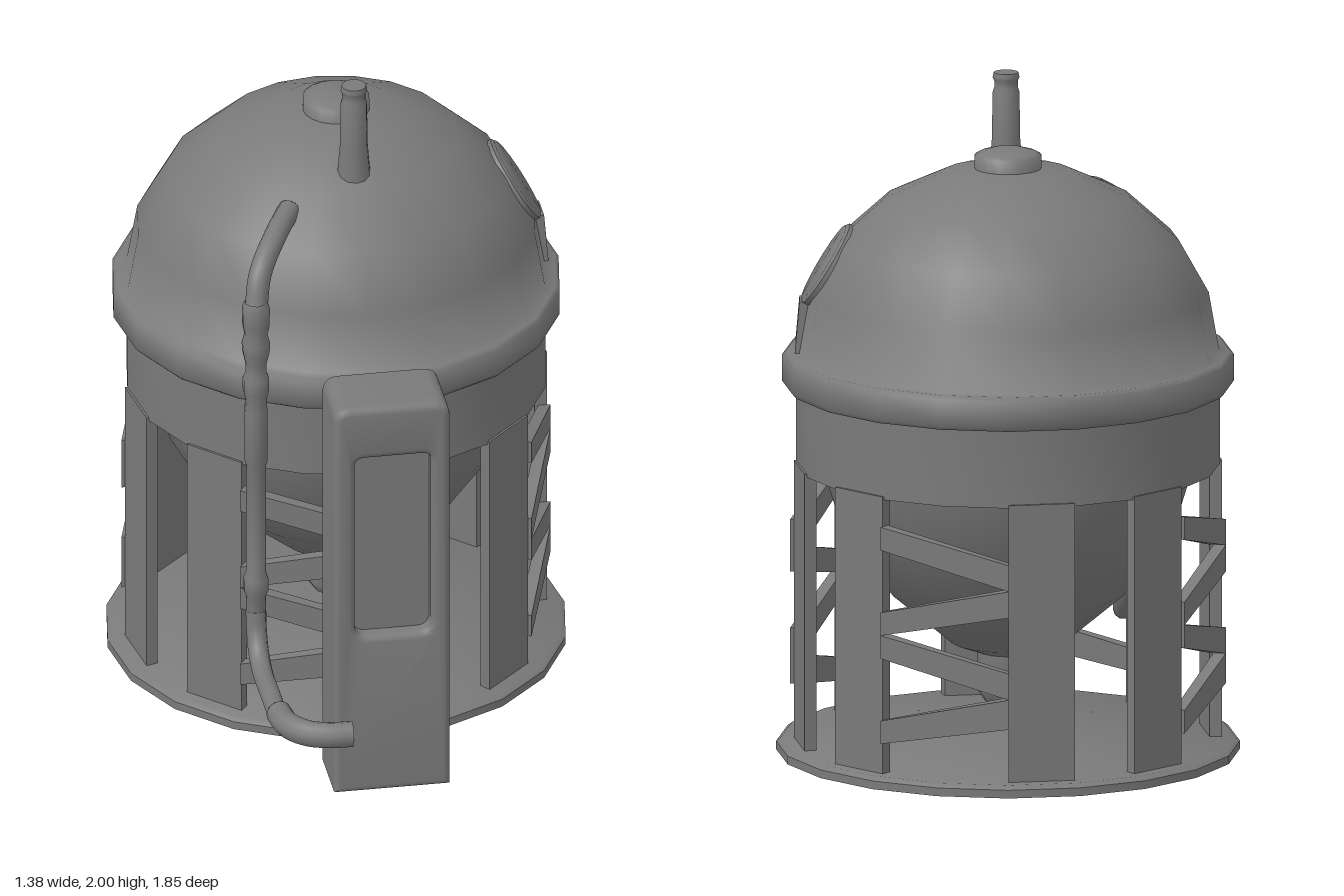
import * as THREE from 'three';
import { toCreasedNormals } from 'three/addons/utils/BufferGeometryUtils.js';

const SIDES = 20;
const AXIS_Z = -0.24; // the vessel stands behind the control column
const material = new THREE.MeshStandardMaterial({ color: 0x7a7a7a, side: THREE.DoubleSide });
const rad = THREE.MathUtils.degToRad;

function add(parent, name, geometry, crease = 40) {
  const mesh = new THREE.Mesh(toCreasedNormals(geometry, rad(crease)), material);
  mesh.name = name;
  parent.add(mesh);
  return mesh;
}

function lathe(points, sides = SIDES) {
  return new THREE.LatheGeometry(points.map(([r, y]) => new THREE.Vector2(r, y)), sides);
}

// Straight solid bar of the round frame; heights [low, high] at angles a0 and a1 in degrees
function frameBar(a0, a1, start, end, inner, outer) {
  const pos = [];
  for (const [angle, [lo, hi]] of [[a0, start], [a1, end]]) {
    const a = rad(angle);
    for (const [r, y] of [[outer, lo], [outer, hi], [inner, hi], [inner, lo]]) {
      pos.push(r * Math.sin(a), y, r * Math.cos(a));
    }
  }
  const index = [0, 1, 2, 0, 2, 3, 4, 6, 5, 4, 7, 6];
  for (let k = 0; k < 4; k++) {
    const n = (k + 1) % 4;
    index.push(k, k + 4, n, n, k + 4, n + 4);
  }
  const g = new THREE.BufferGeometry();
  g.setAttribute('position', new THREE.Float32BufferAttribute(pos, 3));
  g.setIndex(index);
  return g;
}

// Rectangle outline with separate corner radii for bottom and top
function roundedRect(path, x0, y0, x1, y1, rb, rt) {
  path.moveTo(x0 + rb, y0);
  path.lineTo(x1 - rb, y0);
  if (rb) path.quadraticCurveTo(x1, y0, x1, y0 + rb);
  path.lineTo(x1, y1 - rt);
  path.quadraticCurveTo(x1, y1, x1 - rt, y1);
  path.lineTo(x0 + rt, y1);
  path.quadraticCurveTo(x0, y1, x0, y1 - rt);
  path.lineTo(x0, y0 + rb);
  if (rb) path.quadraticCurveTo(x0, y0, x0 + rb, y0);
  return path;
}

function buildVessel() {
  const vessel = new THREE.Group();
  vessel.name = 'vessel';
  vessel.position.z = AXIS_Z;

  add(vessel, 'basePlate', lathe([[0, 0], [0.69, 0], [0.69, 0.025], [0.675, 0.037], [0, 0.037]]));
  add(vessel, 'skirt', lathe([[0.6, 1.12], [0.6, 0.87], [0.63, 0.87], [0.63, 1.12]]));

  // Dome and rim band in one smooth sweep, then the cap
  const dome = [[0.6, 1.11], [0.66, 1.11], [0.672, 1.122], [0.672, 1.203], [0.66, 1.215]];
  for (let i = 0; i <= 5; i++) {
    const a = (i / 5) * Math.PI / 2;
    dome.push([0.628 * Math.cos(a), 1.215 + 0.57 * Math.sin(a)]);
  }
  add(vessel, 'domeAndRim', lathe(dome), 100);
  add(vessel, 'domeCap', lathe([[0.1, 1.75], [0.1, 1.81], [0.085, 1.818], [0.05, 1.828], [0, 1.83]]), 80);

  // Hanging bowl and outlet inside the frame
  add(vessel, 'bowl', lathe([[0.6, 1.12], [0.555, 0.87], [0.5, 0.69], [0.36, 0.49], [0.17, 0.33], [0.09, 0.3]]));
  add(vessel, 'outlet', lathe([[0.09, 0.34], [0.09, 0.18], [0.07, 0.15], [0, 0.15]], 12));

  // Four identical quarters: two pillars with a zigzag lattice between them
  const zigzag = [
    [[0.72, 0.79], [0.62, 0.70]],
    [[0.46, 0.53], [0.54, 0.62]],
    [[0.39, 0.46], [0.29, 0.37]],
    [[0.13, 0.20], [0.20, 0.29]],
  ];
  for (let q = 0; q < 4; q++) {
    const a = 36 + q * 90;
    for (const p of [a, a + 54]) {
      add(vessel, 'pillar', frameBar(p, p + 18, [0.03, 0.88], [0.03, 0.88], 0.6, 0.637));
    }
    for (const [start, end] of zigzag) {
      add(vessel, 'latticeStrip', frameBar(a + 18, a + 54, start, end, 0.61, 0.648));
    }
  }

  // Round hatch on the left of the dome
  const hatch = add(vessel, 'hatch', lathe([[0, -0.05], [0.138, -0.05], [0.138, 0.012], [0.128, 0.02], [0, 0.02]], 18));
  hatch.position.set(0.532, 1.473, 0);
  hatch.rotation.z = -rad(58.5);
  const post = add(vessel, 'hatchPost', new THREE.BoxGeometry(0.05, 0.17, 0.09));
  post.position.set(0.603, 1.285, 0);
  post.rotation.z = rad(5);
  return vessel;
}

function buildColumn() {
  const column = new THREE.Group();
  column.name = 'frontColumn';

  const outline = () => roundedRect(new THREE.Shape(), -0.177, 0, 0.172, 1.3, 0, 0.05);
  const back = new THREE.ExtrudeGeometry(outline(), { depth: 0.17, bevelEnabled: false });
  back.translate(0, 0, 0.545);
  add(column, 'columnBody', back);

  // Front face with a recessed panel
  const face = outline();
  face.holes.push(roundedRect(new THREE.Path(), -0.115, 0.525, 0.115, 1.13, 0.04, 0.03));
  const frame = new THREE.ExtrudeGeometry(face, {
    depth: 0.055, bevelThickness: 0.02, bevelSize: 0.02, bevelOffset: -0.02, bevelSegments: 3,
  });
  frame.translate(0, 0, 0.69);
  add(column, 'panelFrame', frame);

  // Stepped duct joining the column to the vessel
  const side = new THREE.Shape([[0.55, 0], [0.55, 0.82], [0.54, 0.82], [0.48, 0.62], [0.445, 0.45], [0.445, 0]]
    .map(([z, y]) => new THREE.Vector2(z, y)));
  const duct = new THREE.ExtrudeGeometry(side, { depth: 0.235, bevelEnabled: false });
  duct.rotateY(-Math.PI / 2);
  duct.translate(0.117, 0, 0);
  add(column, 'duct', duct);
  return column;
}

function tube(parent, name, points, radius) {
  const curve = new THREE.CatmullRomCurve3(points.map((p) => new THREE.Vector3(...p)));
  add(parent, name, new THREE.TubeGeometry(curve, 20, radius, 10), 60);
  // End discs close the pipe
  for (const t of [0, 1]) {
    const disc = add(parent, name + 'End', new THREE.CircleGeometry(radius, 10));
    disc.position.copy(curve.getPoint(t));
    disc.lookAt(disc.position.clone().addScaledVector(curve.getTangent(t), t ? 1 : -1));
  }
}

function buildPipe() {
  const pipe = new THREE.Group();
  pipe.name = 'sidePipe';
  const x = -0.345, z = 0.355;

  tube(pipe, 'upperBend', [[-0.2, 1.63, 0.1], [-0.26, 1.61, 0.21], [-0.325, 1.54, 0.315], [x, 1.44, z]], 0.034);
  // Straight run with swollen joints
  const run = add(pipe, 'downPipe', lathe([
    [0.034, 1.47], [0.042, 1.45], [0.041, 1.39], [0.035, 1.36], [0.043, 1.33], [0.041, 1.3], [0.032, 1.26],
    [0.032, 1.23], [0.04, 1.21], [0.04, 1.17], [0.032, 1.14], [0.035, 1.1], [0.035, 0.93], [0.03, 0.915], [0.03, 0.55],
    [0.038, 0.53], [0.038, 0.49], [0.03, 0.47], [0.03, 0.4],
  ], 10), 60);
  run.position.set(x, 0, z);
  tube(pipe, 'lowerBend', [[x, 0.42, z], [x, 0.36, z + 0.01], [x, 0.3, z + 0.05], [x, 0.27, z + 0.12], [x, 0.27, 0.6], [x, 0.27, 0.73]], 0.031);
  tube(pipe, 'spout', [[x + 0.005, 0.27, 0.72], [-0.325, 0.27, 0.8], [-0.275, 0.27, 0.86], [-0.21, 0.27, 0.883], [-0.145, 0.27, 0.886]], 0.039);
  return pipe;
}

export function createModel() {
  const model = new THREE.Group();
  model.name = 'domedVessel';
  model.add(buildVessel(), buildColumn(), buildPipe());

  // Chimney on the front of the dome
  const chimney = add(model, 'chimney', lathe([
    [0.052, 1.67], [0.05, 1.7], [0.042, 1.8], [0.04, 1.94], [0.035, 1.955],
    [0.035, 1.975], [0.04, 1.985], [0.037, 2.0], [0, 2.0],
  ], 12));
  chimney.position.set(0.005, 0, 0.04);
  return model;
}
